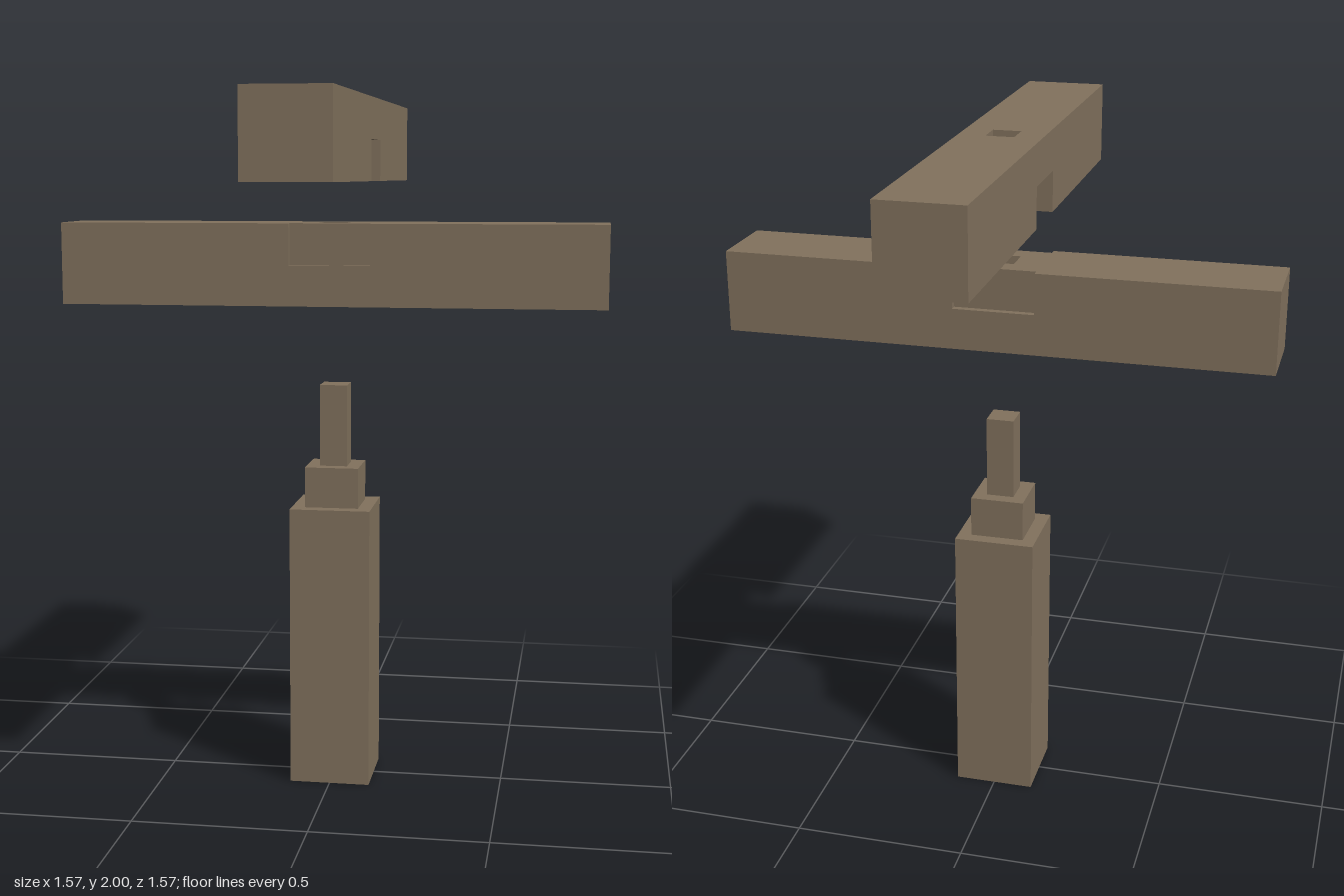
import * as THREE from 'three';

const HALF = 0.117;      // half thickness of the timbers
const LENGTH = 0.784;    // half length of the beams
const CORE = 0.097;      // half width of the housed middle of the lower beam
const SHOULDER = 0.078;  // half width of the post's lower tenon
const TENON = 0.04;      // half width of the post's upper tenon

const rect = (a, b) => [[-a, -b], [a, -b], [a, b], [-a, b]];
const toPoints = (pts) => pts.map(([x, z]) => new THREE.Vector2(x, z));

// Upright slab from a plan outline, with an optional square mortise through it
function slab(outline, y0, y1, mortise = 0) {
  const shape = new THREE.Shape(toPoints(outline));
  if (mortise) shape.holes.push(new THREE.Path(toPoints(rect(mortise, mortise).reverse())));
  const geo = new THREE.ExtrudeGeometry(shape, { depth: y1 - y0, bevelEnabled: false });
  return geo.rotateX(-Math.PI / 2).translate(0, y0, 0);
}

export function createModel() {
  const wood = new THREE.MeshStandardMaterial({ color: 0x80705c });
  wood.name = 'brown wood';
  const model = new THREE.Group();
  model.name = 'explodedTimberJoint';

  const part = (name, pieces) => {
    const group = new THREE.Group();
    group.name = name;
    for (const [pieceName, geo] of Object.entries(pieces)) {
      const mesh = new THREE.Mesh(geo, wood);
      mesh.name = pieceName;
      group.add(mesh);
    }
    model.add(group);
  };

  // Post with a two-step tenon
  part('post', {
    postShaft: slab(rect(HALF, HALF), 0, 0.824),
    postShoulder: slab(rect(SHOULDER, SHOULDER), 0.824, 0.942),
    postTenon: slab(rect(TENON, TENON), 0.942, 1.18),
  });

  // Lower beam: wide mortise below, narrow mortise above, shallow housings in both cheeks
  const housed = [
    [-LENGTH, -HALF], [-HALF, -HALF], [-HALF, -CORE], [HALF, -CORE], [HALF, -HALF], [LENGTH, -HALF],
    [LENGTH, HALF], [HALF, HALF], [HALF, CORE], [-HALF, CORE], [-HALF, HALF], [-LENGTH, HALF],
  ];
  part('lowerBeam', {
    lowerBeamBase: slab(rect(LENGTH, HALF), 1.413, 1.53, SHOULDER),
    lowerBeamTop: slab(housed, 1.53, 1.648, TENON),
  });

  // Upper beam: notched underneath to drop over the lower beam
  const arm = (side) => slab(rect(HALF, (LENGTH - CORE) / 2), 1.766, 1.883)
    .translate(0, 0, side * (LENGTH + CORE) / 2);
  part('upperBeam', {
    upperBeamTop: slab(rect(HALF, LENGTH), 1.883, 2, TENON),
    upperBeamFrontArm: arm(1),
    upperBeamBackArm: arm(-1),
  });

  return model;
}
